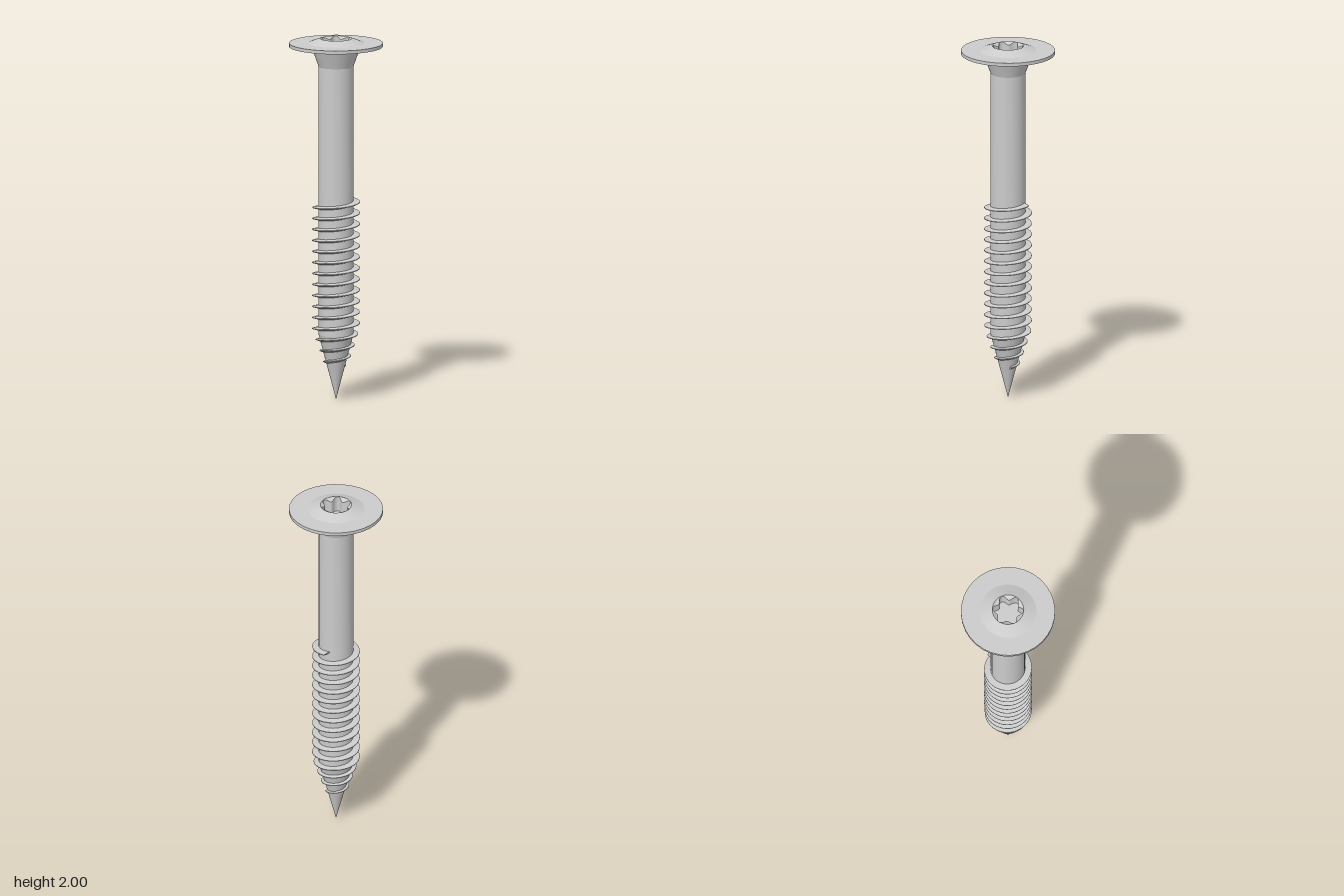
import * as THREE from 'three';
import { toCreasedNormals } from 'three/addons/utils/BufferGeometryUtils.js';

const TAU = Math.PI * 2;
const SIDES = 32;
const SHANK_R = 0.095, POINT_H = 0.36;

const metal = new THREE.MeshStandardMaterial({ color: 0xcccccc });

function addMesh(group, name, geometry, crease = 0.23) {
  const mesh = new THREE.Mesh(toCreasedNormals(geometry, crease), metal);
  mesh.name = name;
  group.add(mesh);
}

function lathe(...profile) {
  return new THREE.LatheGeometry(profile.map(([r, y]) => new THREE.Vector2(r, y)), SIDES);
}

// Skin between rows of points; at(row, t) returns [radius, angle, y]
function loft(rows, steps, at) {
  const pos = [], index = [];
  for (let i = 0; i < rows; i++) {
    for (let j = 0; j <= steps; j++) {
      const [r, a, y] = at(i, j / steps);
      pos.push(r * Math.sin(a), y, r * Math.cos(a));
      if (i < rows - 1 && j < steps) {
        const p = i * (steps + 1) + j, q = p + steps + 1;
        index.push(p, p + 1, q + 1, p, q + 1, q);
      }
    }
  }
  const g = new THREE.BufferGeometry();
  g.setAttribute('position', new THREE.Float32BufferAttribute(pos, 3));
  g.setIndex(index);
  return g;
}

// Six-lobed driver socket: countersink, fluted wall and flat floor
function socket() {
  const rim = 0.086, floorY = 1.91;
  return loft(4, 96, (row, t) => {
    const a = t * TAU;
    const star = 0.0725 - 0.0125 * Math.cos(6 * a);
    if (row === 0) return [rim, a, 2];
    if (row === 1) return [star, a, 2 - (rim - star) * 0.6];
    if (row === 2) return [star, a, floorY];
    return [0, a, floorY];
  });
}

// Right-handed helical fin that narrows along the point
function thread() {
  const pitch = 0.061, start = -14.8 * TAU, end = 0.375 * TAU;
  const section = [[0, -0.013], [1, -0.002], [1, 0.002], [0, 0.008]];
  return loft(4, 15 * 36, (row, t) => {
    const a = start + (end - start) * t;
    const y = 1.085 + pitch * a / TAU;
    const inner = Math.min(SHANK_R, SHANK_R * y / POINT_H) - 0.006;
    const outer = Math.min(0.13, 0.072 + 0.335 * (y - 0.215));
    const [out, dy] = section[row];
    // the fin runs into the core at both ends
    const height = t === 0 || t === 1 ? 0 : out;
    return [inner + (outer - inner) * height, a, y + dy];
  });
}

export function createModel() {
  const screw = new THREE.Group();
  screw.name = 'screw';

  addMesh(screw, 'point', lathe([0, 0], [SHANK_R, POINT_H]));
  addMesh(screw, 'shank', lathe([SHANK_R, POINT_H], [SHANK_R, 1.845]));
  addMesh(screw, 'flaredNeck', lathe([SHANK_R, 1.845], [0.135, 1.956]));
  addMesh(screw, 'flange', lathe([0.135, 1.956], [0.257, 1.956], [0.257, 1.975], [0.155, 1.975]));
  addMesh(screw, 'headDome', lathe([0.155, 1.975], [0.086, 2]));
  addMesh(screw, 'driveSocket', socket(), 0.5);
  addMesh(screw, 'thread', thread(), 0.4);

  return screw;
}
